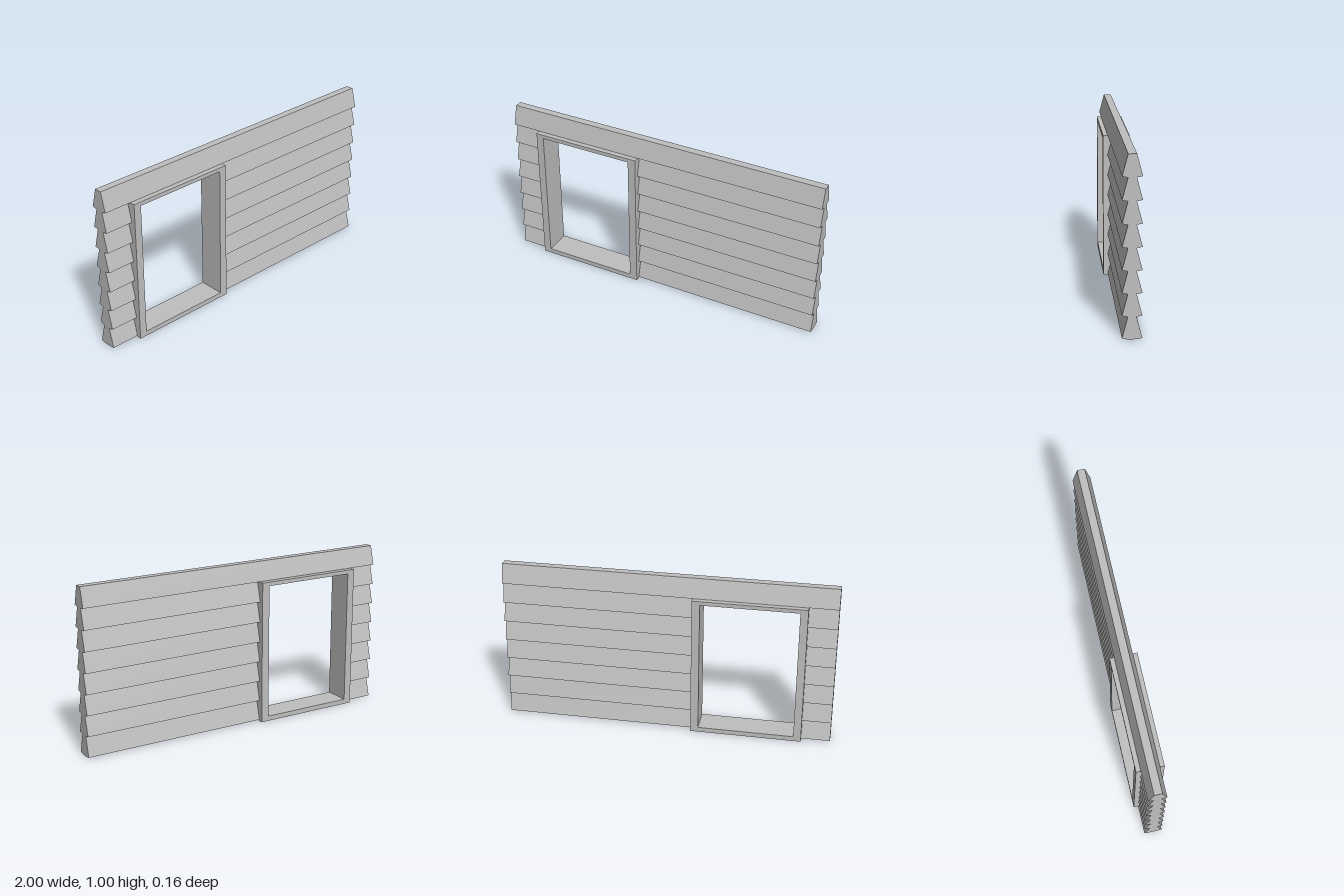
import * as THREE from 'three';

const OUT = 0.054, IN = 0.023, BASE = 0.008, STEP = 0.125, DROP = 0.006;
const paint = new THREE.MeshStandardMaterial({ color: 0xbfbfbf });
paint.name = 'grey paint';

// Closed shape from one side's outline, mirrored to the other side
function mirroredShape(side) {
  const pts = side.map(([z, y]) => new THREE.Vector2(z, y));
  const other = side.map(([z, y]) => new THREE.Vector2(-z, y)).reverse();
  return new THREE.Shape([...pts, ...other]);
}

// Extrude a z-y profile along x
function alongX(name, shape, x0, x1) {
  const geo = new THREE.ExtrudeGeometry(shape, { depth: x1 - x0, bevelEnabled: false });
  geo.rotateY(Math.PI / 2);
  geo.translate(x0, 0, 0);
  const mesh = new THREE.Mesh(geo, paint);
  mesh.name = name;
  return mesh;
}

function rect(path, x0, y0, x1, y1) {
  path.moveTo(x0, y0);
  path.lineTo(x1, y0);
  path.lineTo(x1, y1);
  path.lineTo(x0, y1);
  path.closePath();
  return path;
}

export function createModel() {
  const group = new THREE.Group();
  group.name = 'sidingWallWithDoorway';

  // Seven overlapping siding courses on both faces
  const courses = [[IN, BASE - DROP]];
  for (let k = 0; k < 7; k++) {
    const y = BASE + k * STEP;
    courses.push([OUT, y], [IN, y + STEP - DROP]);
  }
  const siding = mirroredShape(courses);
  group.add(alongX('sidingBesideDoor', siding, -1, -0.82));
  group.add(alongX('sidingMain', siding, -0.155, 1));

  // Top course spans the full width
  const topY = BASE + 7 * STEP;
  const top = mirroredShape([[IN, topY - DROP], [OUT, topY], [IN, 1]]);
  group.add(alongX('topCourse', top, -1, 1));

  // Door frame with a sill, standing proud of both faces
  const outline = rect(new THREE.Shape(), -0.826, 0, -0.15, 0.88);
  outline.holes.push(rect(new THREE.Path(), -0.78, 0.03, -0.198, 0.856));
  const frameGeo = new THREE.ExtrudeGeometry(outline, { depth: 0.162, bevelEnabled: false });
  frameGeo.translate(0, 0, -0.081);
  const frame = new THREE.Mesh(frameGeo, paint);
  frame.name = 'doorFrame';
  group.add(frame);

  return group;
}
